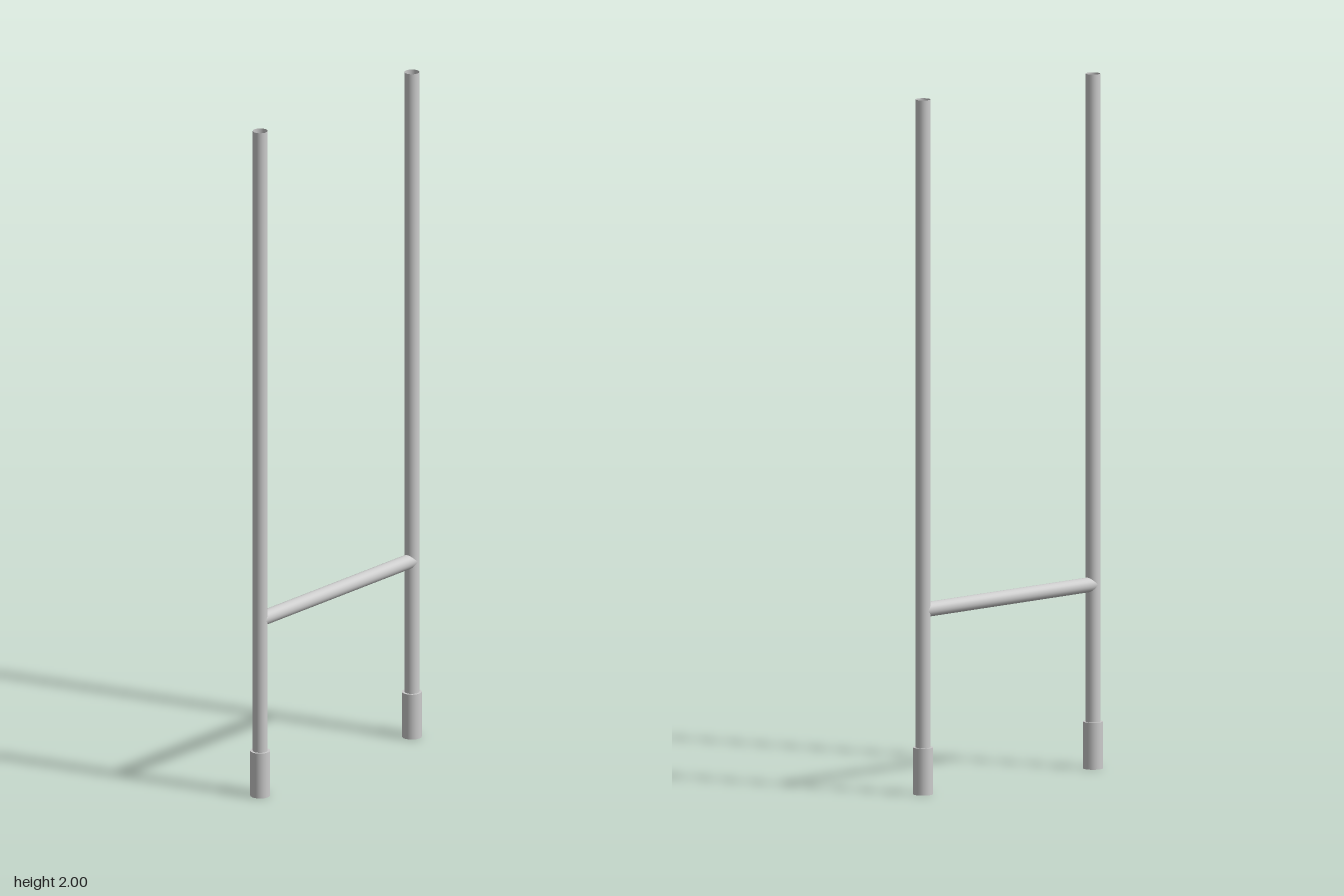
import * as THREE from 'three';

const SIDES = 24;
const PIPE_R = 0.0212, SLEEVE_R = 0.0285;
const SLEEVE_H = 0.135, HEIGHT = 2;
const POST_X = 0.333, RUNG_Y = 0.53;

export function createModel() {
  const model = new THREE.Group();
  const material = new THREE.MeshStandardMaterial({ color: 0xcccccc, side: THREE.DoubleSide });

  // Open pipe, standing upright and centred on its own middle
  const pipe = (name, radius, length) => {
    const mesh = new THREE.Mesh(
      new THREE.CylinderGeometry(radius, radius, length, SIDES, 1, true), material);
    mesh.name = name;
    return mesh;
  };

  for (const [side, x] of [['left', POST_X], ['right', -POST_X]]) {
    const leg = new THREE.Group();
    leg.name = side + 'Leg';
    leg.position.x = x;

    // Long hollow post, open at the top
    const post = pipe(side + 'Post', PIPE_R, HEIGHT - SLEEVE_H);
    post.position.y = (HEIGHT + SLEEVE_H) / 2;

    // Wider foot sleeve, open at the bottom
    const sleeve = pipe(side + 'FootSleeve', SLEEVE_R, SLEEVE_H);
    sleeve.position.y = SLEEVE_H / 2;

    // Flat shoulder between sleeve and post
    const shoulder = new THREE.Mesh(new THREE.RingGeometry(PIPE_R, SLEEVE_R, SIDES), material);
    shoulder.name = side + 'SleeveShoulder';
    shoulder.rotation.x = -Math.PI / 2;
    shoulder.position.y = SLEEVE_H;

    leg.add(post, sleeve, shoulder);
    model.add(leg);
  }

  // Rung running between the post centres
  const rung = pipe('crossRung', PIPE_R, POST_X * 2);
  rung.rotation.z = Math.PI / 2;
  rung.position.y = RUNG_Y;
  model.add(rung);

  return model;
}
